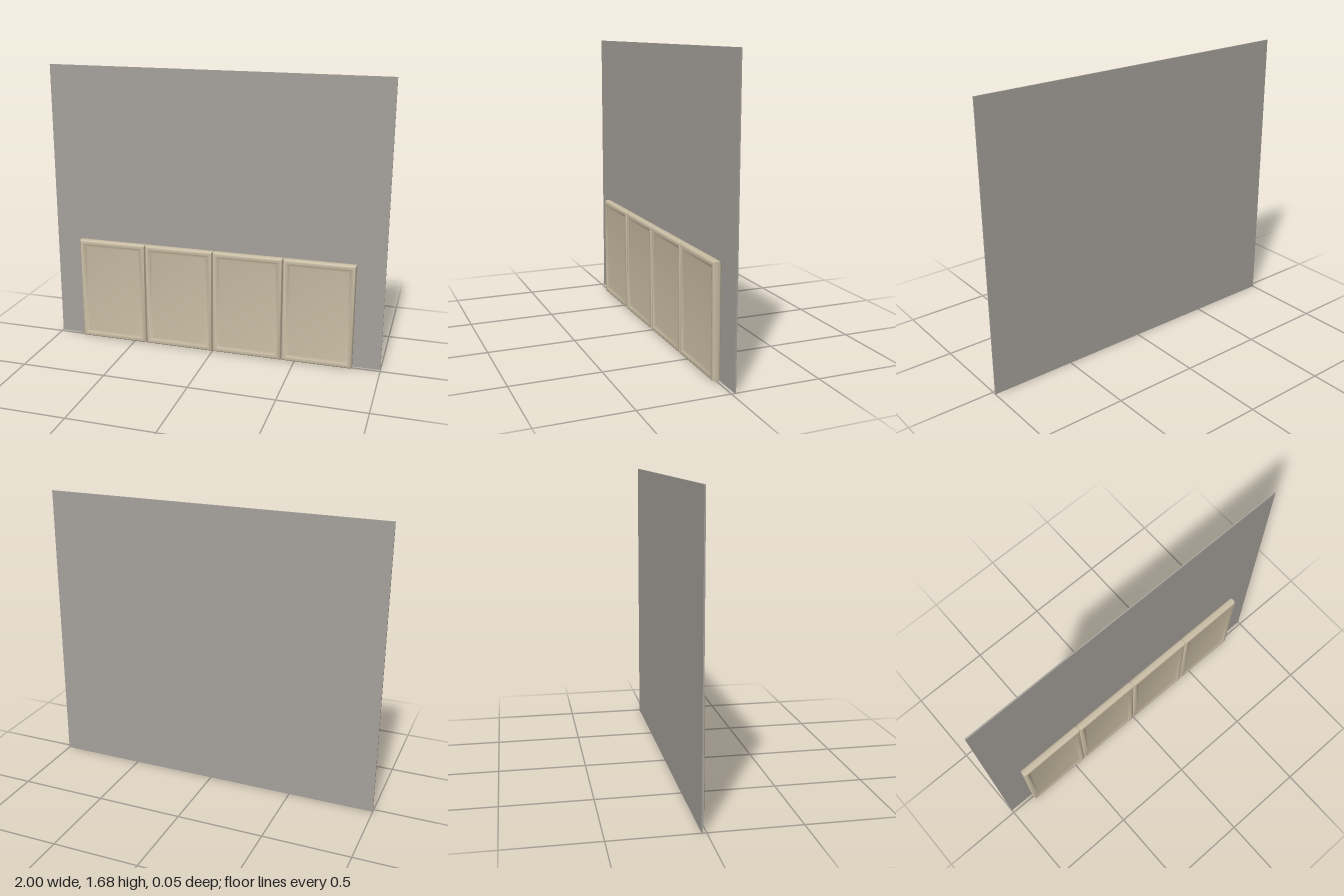
import * as THREE from 'three';
import { toCreasedNormals } from 'three/addons/utils/BufferGeometryUtils.js';

const WALL_BACK = -0.026, WALL_FRONT = -0.018;
const DOOR_PITCH = 0.42, DOOR_W = 0.417, DOOR_H = 0.628;

// Edge and moulding profile of a door: [inset from the outline, z], back to front
const PROFILE = [
  [0.006, WALL_FRONT], [0.001, -0.013], [0, -0.008], [0, 0.012], [0.0015, 0.019],
  [0.005, 0.0235], [0.010, 0.026], [0.021, 0.026], [0.025, 0.025],
  [0.031, 0.021], [0.037, 0.0185], [0.043, 0.0175],
];

// Concentric rectangles joined into a framed door with a recessed panel
function doorGeometry(w, h) {
  const pos = [], idx = [];
  for (const [inset, z] of PROFILE) {
    const x = w / 2 - inset, y = h / 2 - inset;
    pos.push(-x, -y, z, x, -y, z, x, y, z, -x, y, z);
  }
  const last = (PROFILE.length - 1) * 4;
  for (let r = 0; r < last; r += 4) {
    for (let i = 0; i < 4; i++) {
      const a = r + i, b = r + (i + 1) % 4;
      idx.push(a, b, b + 4, a, b + 4, a + 4);
    }
  }
  idx.push(last, last + 1, last + 2, last, last + 2, last + 3); // panel
  idx.push(0, 2, 1, 0, 3, 2); // back
  const g = new THREE.BufferGeometry();
  g.setAttribute('position', new THREE.Float32BufferAttribute(pos, 3));
  g.setIndex(idx);
  return toCreasedNormals(g, 0.7);
}

export function createModel() {
  const wallGrey = new THREE.MeshStandardMaterial({ color: 0xa5a19b });
  wallGrey.name = 'wallGrey';
  const doorBeige = new THREE.MeshStandardMaterial({ color: 0xc7bba2 });
  doorBeige.name = 'doorBeige';

  const group = new THREE.Group();
  group.name = 'panelledWall';

  // Thin backing wall
  const wall = new THREE.Mesh(new THREE.BoxGeometry(2, 1.68, WALL_FRONT - WALL_BACK), wallGrey);
  wall.name = 'backWall';
  wall.position.set(0, 0.84, (WALL_FRONT + WALL_BACK) / 2);
  group.add(wall);

  // Row of four framed doors
  const geometry = doorGeometry(DOOR_W, DOOR_H);
  for (let i = 0; i < 4; i++) {
    const door = new THREE.Mesh(geometry, doorBeige);
    door.name = 'door' + (i + 1);
    door.position.set((i - 1.5) * DOOR_PITCH, DOOR_H / 2 + 0.002, 0);
    group.add(door);
  }
  return group;
}
